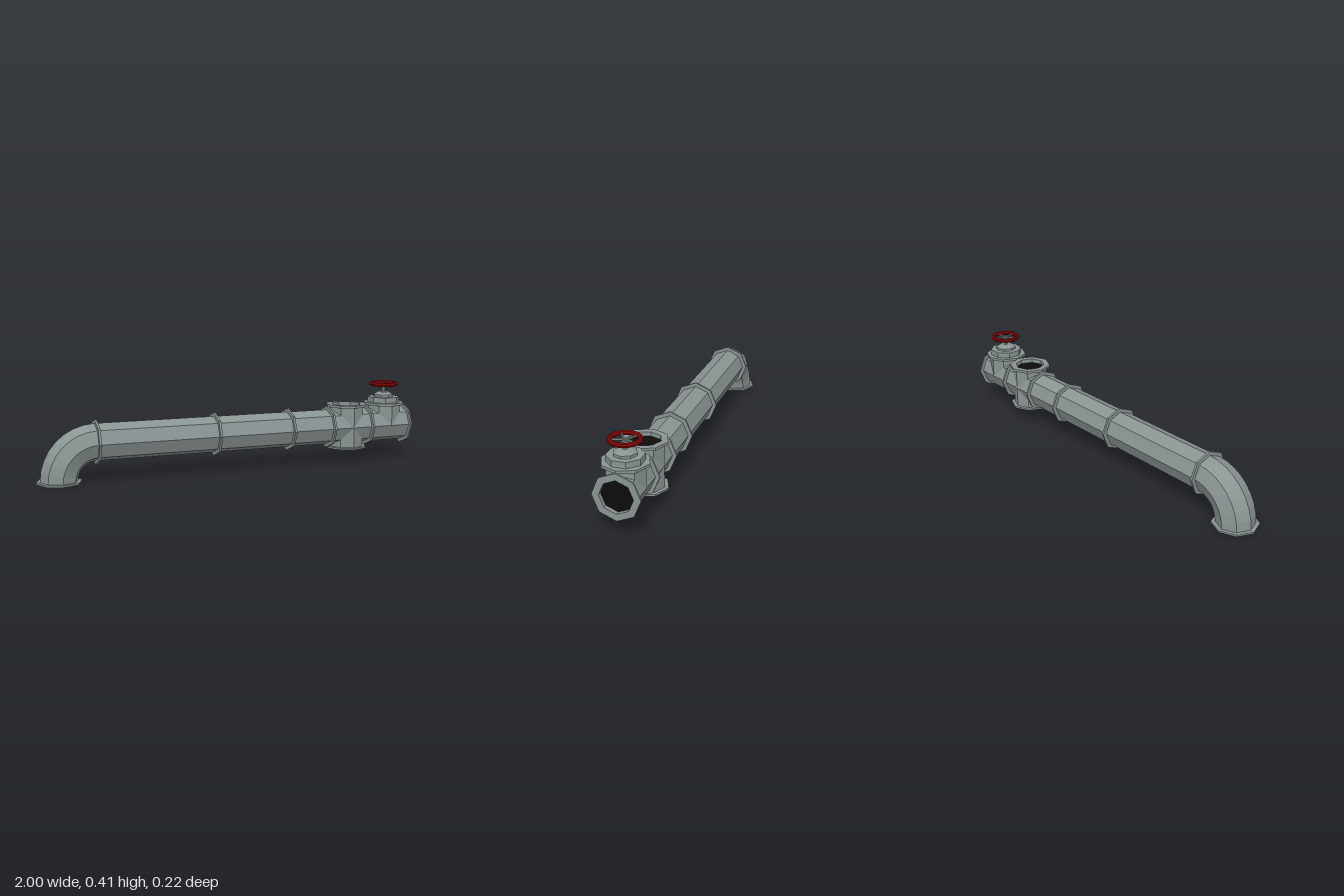
import * as THREE from 'three';

const AXIS_Y = 0.186, PIPE_R = 0.092, FLANGE_R = 0.111, BORE_R = 0.078, SIDES = 8;
const CROSS_X = 0.655, VALVE_X = 0.883, ELBOW_X = -0.889, BEND_X = -0.71;

export function createModel() {
  const group = new THREE.Group();
  const flat = (name, color) => {
    const m = new THREE.MeshStandardMaterial({ color, flatShading: true });
    m.name = name;
    return m;
  };
  const steel = flat('steel grey', 0x8a9493);
  const red = flat('handwheel red', 0x8c0808);
  const black = flat('bore black', 0x0c0c0c);

  const add = (name, geometry, material, parent = group) => {
    const mesh = new THREE.Mesh(geometry, material);
    mesh.name = name;
    parent.add(mesh);
    return mesh;
  };
  const lathe = (pts, sides = SIDES) =>
    new THREE.LatheGeometry(pts.map(([r, y]) => new THREE.Vector2(r, y)), sides);

  // Straight pipe running along x
  const pipe = (name, x0, x1) => {
    const m = add(name, new THREE.CylinderGeometry(PIPE_R, PIPE_R, x1 - x0, SIDES, 1, true), steel);
    m.rotation.z = -Math.PI / 2;
    m.position.set((x0 + x1) / 2, AXIS_Y, 0);
  };
  pipe('mainPipe', BEND_X, 0.54);
  pipe('crossRun', 0.54, 0.77);
  pipe('valveRun', 0.77, 0.992);

  // Joint collars between the pipe sections
  [-0.708, -0.098, 0.31, 0.541, 0.768].forEach((x) => {
    const c = add('collar', new THREE.CylinderGeometry(FLANGE_R, FLANGE_R, 0.011, SIDES), steel);
    c.rotation.z = -Math.PI / 2;
    c.position.set(x, AXIS_Y, 0);
  });

  // Downward elbow
  const bend = new THREE.TorusGeometry(0.179, PIPE_R, SIDES, 8, Math.PI / 2);
  bend.rotateZ(Math.PI / 2);
  add('elbow', bend, steel).position.set(BEND_X, 0.007, 0);

  // Open end: flange ring with a short inner wall and a dark bore; local +y faces outward
  const openEnd = (name, x, y, rotZ, thick, depth) => {
    const end = new THREE.Group();
    end.name = name;
    add('flange', lathe([
      [BORE_R, -depth], [PIPE_R - 0.004, -thick], [FLANGE_R, -thick],
      [FLANGE_R, 0], [BORE_R, 0], [BORE_R, -depth],
    ]), steel, end);
    const bore = new THREE.CircleGeometry(BORE_R, SIDES);
    bore.rotateX(-Math.PI / 2);
    add('bore', bore, black, end).position.y = -depth + 0.001;
    end.position.set(x, y, 0);
    end.rotation.z = rotZ;
    group.add(end);
  };
  openEnd('outletEnd', 1, AXIS_Y, -Math.PI / 2, 0.009, 0.022);
  openEnd('elbowEnd', ELBOW_X, 0, Math.PI, 0.009, 0.026);
  openEnd('crossTopEnd', CROSS_X, 0.305, 0, 0.013, 0.022);
  openEnd('crossBottomEnd', CROSS_X, 0.071, Math.PI, 0.009, 0.022);

  // Vertical branches of the cross and the valve body
  const branch = (name, x, y0, y1) => {
    add(name, new THREE.CylinderGeometry(PIPE_R, PIPE_R, y1 - y0, SIDES, 1, true), steel)
      .position.set(x, (y0 + y1) / 2, 0);
  };
  branch('crossBranch', CROSS_X, 0.076, 0.295);
  branch('valveBranch', VALVE_X, AXIS_Y, 0.295);

  // Valve bonnet and stem
  const valve = new THREE.Group();
  valve.name = 'valve';
  valve.position.x = VALVE_X;
  group.add(valve);
  add('valveFlange', new THREE.CylinderGeometry(FLANGE_R, FLANGE_R, 0.013, SIDES), steel, valve)
    .position.y = 0.2985;
  const base = add('bonnetBase', new THREE.CylinderGeometry(0.0855, 0.0855, 0.029, SIDES), steel, valve);
  base.position.y = 0.319;
  base.rotation.y = Math.PI / 8;
  add('bonnetCap', lathe([[0.054, 0.333], [0.054, 0.346], [0.031, 0.359], [0, 0.359]]), steel, valve);
  add('stem', new THREE.CylinderGeometry(0.011, 0.011, 0.046, SIDES), steel, valve).position.y = 0.38;

  // Handwheel with spokes
  const rim = new THREE.TorusGeometry(0.067, 0.0115, 8, 12);
  rim.rotateX(Math.PI / 2);
  add('handwheel', rim, red, valve).position.y = 0.402;
  for (let i = 0; i < 5; i++) {
    const spoke = new THREE.CylinderGeometry(0.005, 0.005, 0.066, 6);
    spoke.rotateZ(Math.PI / 2);
    spoke.translate(0.034, 0, 0);
    const s = add('spoke', spoke, steel, valve);
    s.position.y = 0.4;
    s.rotation.y = (i * Math.PI * 2) / 5;
  }

  return group;
}
